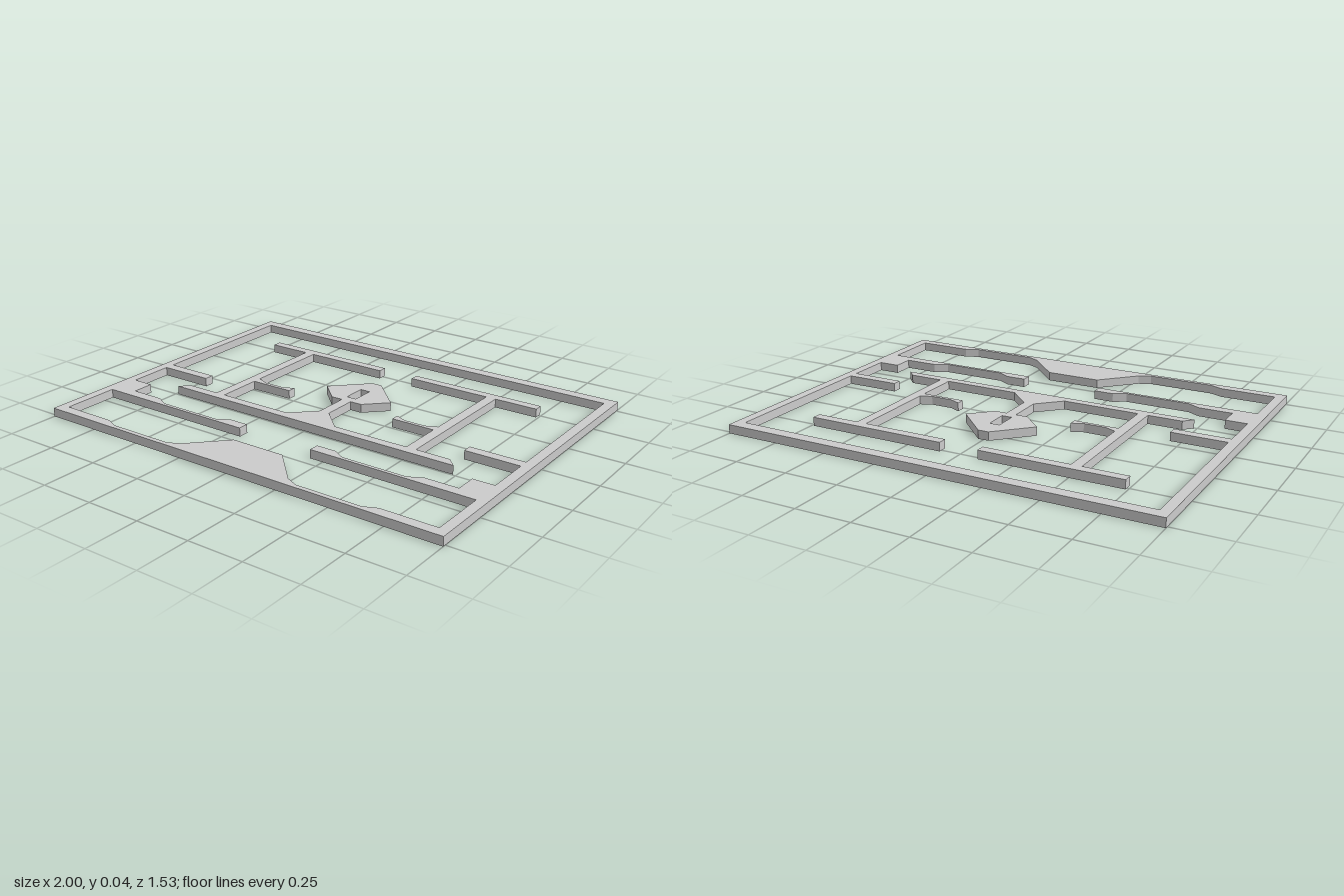
import * as THREE from 'three';

const HEIGHT = 0.04;

// Closes a half outline, given as [x, z] pairs from one end of the centre line to the other, by mirroring in x
function mirrored(half) {
  const other = half.map(([x, z]) => [-x, z]).reverse();
  return [...half, ...other].map(([x, z]) => new THREE.Vector2(x, z));
}

// Flat slab standing on y = 0, with x and z taken from the outline
function slab(name, outline, hole) {
  const shape = new THREE.Shape(outline);
  shape.holes.push(new THREE.Path(hole));
  const geometry = new THREE.ExtrudeGeometry(shape, { depth: HEIGHT, bevelEnabled: false });
  geometry.rotateX(Math.PI / 2).translate(0, HEIGHT, 0);
  const mesh = new THREE.Mesh(geometry, new THREE.MeshStandardMaterial({ color: 0xcccccc, flatShading: true }));
  mesh.name = name;
  return mesh;
}

export function createModel() {
  const group = new THREE.Group();
  group.name = 'floorPlanWalls';

  // Outer frame with side stubs, notched lower walls and front ramp
  const frameOuter = mirrored([[1, -0.763], [1, 0.763]]);
  const frameInner = mirrored([
    [0.955, -0.71],
    [0.955, 0.05], [0.70, 0.05], [0.70, 0.095], [0.955, 0.095],       // side stub
    [0.955, 0.305], [0.855, 0.305], [0.855, 0.405],                   // corner step
    [0.70, 0.405], [0.64, 0.437], [0.335, 0.437], [0.28, 0.405],      // lower wall
    [0.187, 0.405], [0.187, 0.453], [0.955, 0.453],
    [0.955, 0.716], [0.70, 0.716], [0.64, 0.742], [0.335, 0.742],     // front edge
    [0.28, 0.716], [0.128, 0.56],                                     // ramp
  ]);
  group.add(slab('outerFrame', frameOuter, frameInner));

  // Inner walls: centre diamond, cross bar, posts with hooks and top bars
  const wallOuter = mirrored([
    [0.025, -0.312], [0.177, -0.16], [0.08, -0.065], [0.024, -0.065], // diamond
    [0.024, 0.10], [0.13, 0.203],                                     // flared stem
    [0.49, 0.203], [0.49, -0.01],
    [0.283, -0.01], [0.283, -0.05], [0.335, -0.027], [0.437, -0.027], [0.49, -0.05], // hook
    [0.49, -0.472], [0.09, -0.472], [0.09, -0.515], [0.74, -0.515], [0.74, -0.472],  // top bar
    [0.537, -0.472], [0.537, 0.203],                                  // post
    [0.697, 0.203], [0.737, 0.245],                                   // cross bar end
  ]);
  const slot = mirrored([[0.024, -0.215], [0.024, -0.105]]);
  group.add(slab('innerWalls', wallOuter, slot));

  return group;
}
